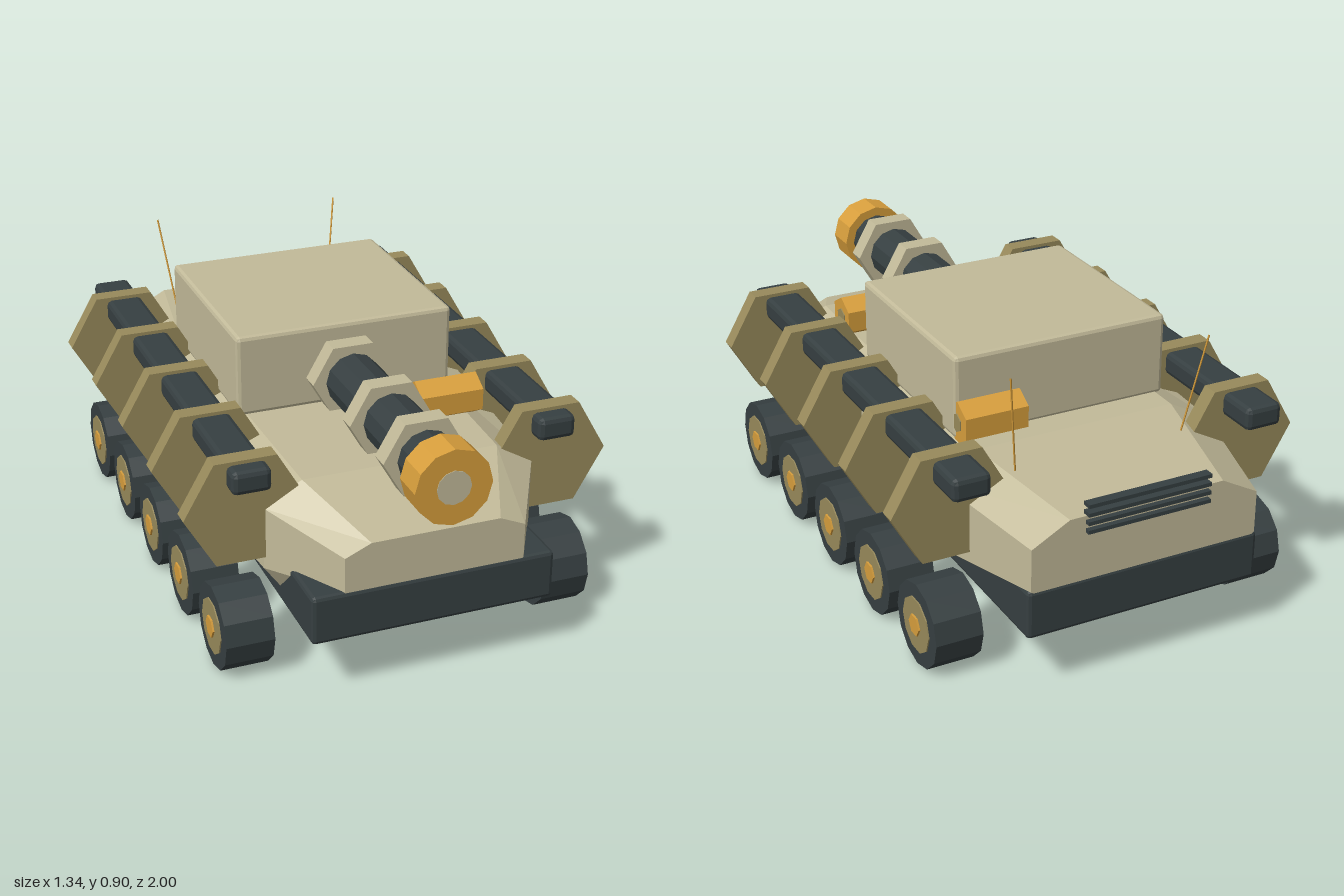
import * as THREE from 'three';
import { RoundedBoxGeometry } from 'three/addons/geometries/RoundedBoxGeometry.js';

const paint = (name, color) => new THREE.MeshStandardMaterial({ name, color, flatShading: true });

// Loft of eight-sided sections: [z, topX, topY, sideX, shoulderY, sillY, bottomX, bottomY]
function hullGeometry(sections) {
  const rings = sections.map(([z, tx, ty, wx, sy, by, bx, b0]) => [
    [tx, ty, z], [-tx, ty, z], [-wx, sy, z], [-wx, by, z],
    [-bx, b0, z], [bx, b0, z], [wx, by, z], [wx, sy, z]]);
  const pos = [];
  const tri = (...corners) => corners.forEach((c) => pos.push(...c));
  for (let r = 0; r < rings.length - 1; r++) {
    const a = rings[r], b = rings[r + 1];
    for (let i = 0; i < 8; i++) {
      const j = (i + 1) % 8;
      tri(a[i], b[i], b[j]);
      tri(a[i], b[j], a[j]);
    }
  }
  const front = rings[0], back = rings[rings.length - 1];
  for (let i = 1; i < 7; i++) {
    tri(front[0], front[i], front[i + 1]);
    tri(back[0], back[i + 1], back[i]);
  }
  const g = new THREE.BufferGeometry();
  g.setAttribute('position', new THREE.Float32BufferAttribute(pos, 3));
  g.computeVertexNormals();
  return g;
}

export function createModel() {
  const beige = paint('beige armour', 0xc2ba99);
  const olive = paint('olive armour', 0x988a5b);
  const orange = paint('orange trim', 0xd79e3c);
  const dark = paint('dark metal', 0x363f41);

  const model = new THREE.Group();
  const add = (name, geometry, material, x = 0, y = 0, z = 0, parent = model) => {
    const m = new THREE.Mesh(geometry, material);
    m.name = name;
    m.position.set(x, y, z);
    parent.add(m);
    return m;
  };
  const box = (w, h, d, bevel) => new RoundedBoxGeometry(w, h, d, 1, bevel);
  const rodX = (r, length, sides) => new THREE.CylinderGeometry(r, r, length, sides).rotateZ(Math.PI / 2);
  const rodZ = (r, length, sides) => new THREE.CylinderGeometry(r, r, length, sides)
    .rotateY(Math.PI / 2).rotateX(Math.PI / 2);

  // Body
  add('chassis', box(0.76, 0.155, 1.885, 0.012), dark, 0, 0.268, -0.043);
  add('hull', hullGeometry([
    [0.895, 0.20, 0.49, 0.28, 0.455, 0.345, 0.25, 0.30],
    [0.63, 0.31, 0.58, 0.43, 0.51, 0.31, 0.38, 0.24],
    [-0.05, 0.33, 0.59, 0.48, 0.525, 0.30, 0.38, 0.235],
    [-0.57, 0.33, 0.59, 0.46, 0.52, 0.30, 0.38, 0.235],
    [-0.983, 0.25, 0.545, 0.37, 0.48, 0.345, 0.30, 0.30],
  ]), beige);
  add('turret', box(0.71, 0.262, 0.66, 0.013), beige, 0, 0.715, -0.147);

  // Rear grille
  for (let i = 0; i < 4; i++) {
    add('grilleBar', new THREE.BoxGeometry(0.4, 0.012, 0.03), dark, 0, 0.5 + i * 0.027, -0.985);
  }

  // Gun
  const gun = new THREE.Group();
  gun.name = 'gun';
  gun.position.y = 0.68;
  model.add(gun);
  add('barrel', rodZ(0.088, 0.75, 12), dark, 0, 0, 0.535, gun);
  for (const z of [0.215, 0.52, 0.775]) add('barrelCollar', rodZ(0.131, 0.062, 6), beige, 0, 0, z, gun);
  add('muzzle', rodZ(0.118, 0.104, 12), orange, 0, 0, 0.947, gun);
  add('bore', rodZ(0.053, 0.006, 12), beige, 0, 0, 0.998, gun);

  // Hexagonal pods at the front and back of the turret
  for (const z of [0.385, -0.482]) {
    add('pod', rodX(0.068, 0.205, 6).rotateX(Math.PI / 2), orange, 0.248, 0.642, z);
    for (const x of [0.145, 0.351]) add('podLens', rodX(0.03, 0.006, 6).rotateX(Math.PI / 2), olive, x, 0.642, z);
  }

  for (const s of [-1, 1]) {
    // Side rail threaded through the armour plates
    add('sideRail', box(0.12, 0.073, 1.54, 0.016), dark, s * 0.48, 0.632, -0.077);

    // Armour plates and wheels
    for (let i = 0; i < 5; i++) {
      const z = 0.61 - i * 0.325;
      add('armourPlate', rodZ(0.19, 0.055, 6), olive, s * 0.482, 0.515, z);

      const wheel = new THREE.Group();
      wheel.name = 'wheel';
      wheel.position.set(s * 0.512, 0.135, z);
      model.add(wheel);
      add('tyre', rodX(0.134, 0.15, 12), dark, 0, 0, 0, wheel);
      add('rim', rodX(0.088, 0.158, 10), olive, 0, 0, 0, wheel);
      add('hub', rodX(0.034, 0.17, 6), orange, 0, 0, 0, wheel);
    }

    // Antenna
    const foot = new THREE.Vector3(s * 0.277, 0.565, -0.707);
    const tip = new THREE.Vector3(s * 0.323, 0.9, -0.764);
    add('antenna', new THREE.TubeGeometry(new THREE.LineCurve3(foot, tip), 1, 0.003, 5), orange);
  }

  return model;
}
